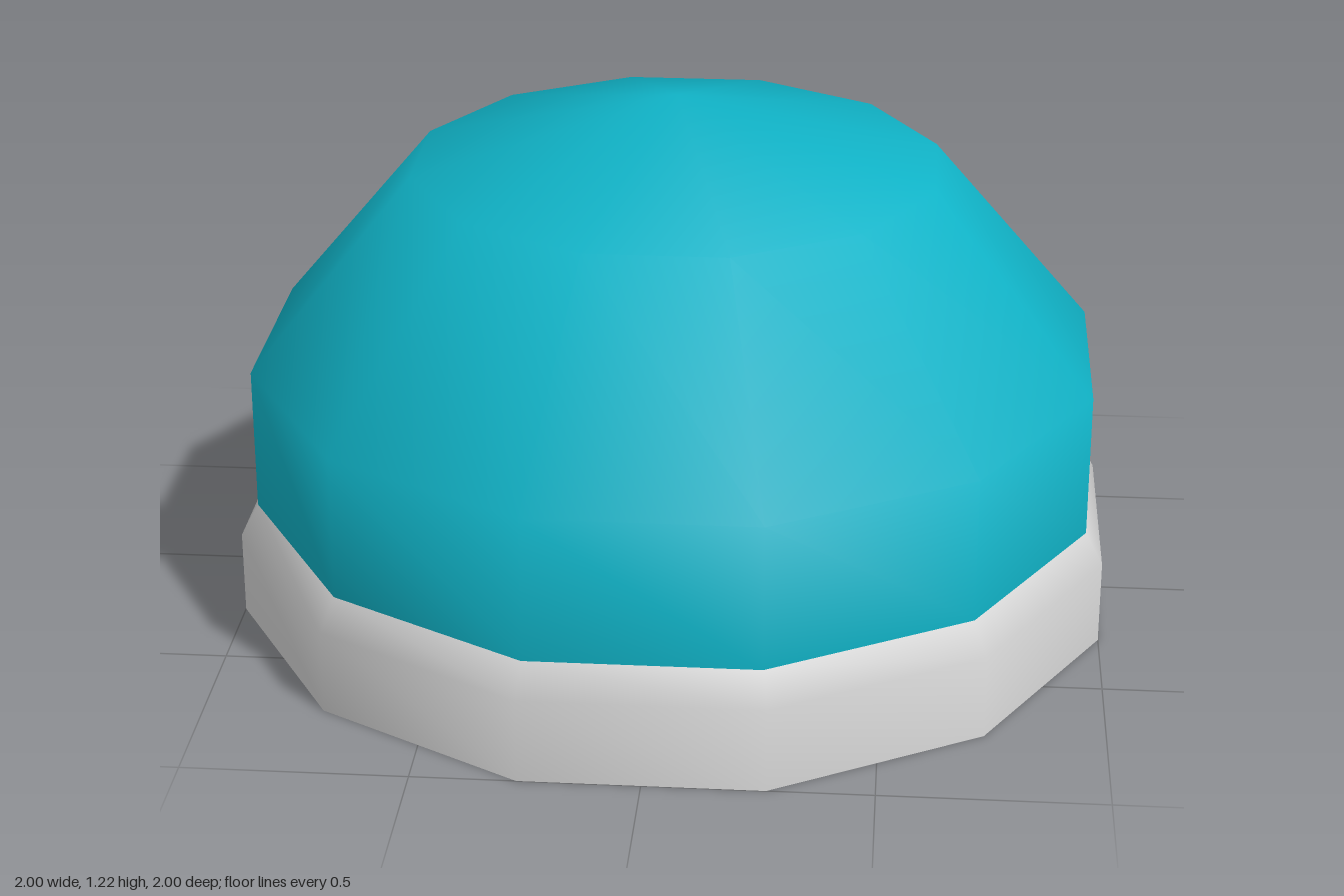
import * as THREE from 'three';

const SIDES = 12;
// Flat faces point along the axes, so widths are given to the middle of a side.
const CORNER = 1 / Math.cos(Math.PI / SIDES);

function ring(points) {
  const profile = points.map(([r, y]) => new THREE.Vector2(r * CORNER, y));
  return new THREE.LatheGeometry(profile, SIDES, Math.PI / SIDES);
}

export function createModel() {
  const teal = new THREE.MeshStandardMaterial({ color: 0x10b3c7, side: THREE.DoubleSide });
  teal.name = 'teal';
  const lightGrey = new THREE.MeshStandardMaterial({ color: 0xdadada, side: THREE.DoubleSide });
  lightGrey.name = 'lightGrey';

  const group = new THREE.Group();
  group.name = 'domeCap';
  const add = (name, geometry, material) => {
    const mesh = new THREE.Mesh(geometry, material);
    mesh.name = name;
    group.add(mesh);
  };

  // Open shell with a faceted outline and smooth shading
  const shell = ring([[0.96, 0.27], [0.96, 0.605], [0.593, 1.056], [0, 1.215]]);
  const { position, normal } = shell.attributes;
  for (let i = 0; i < position.count; i++) {
    if (position.getY(i) > 1.2) normal.setXYZ(i, 0, 1, 0);
  }
  add('dome', shell, teal);

  // Brim band: outer face, underside and inner face
  add('bandOuter', ring([[1, 0], [1, 0.195], [0.96, 0.27]]), lightGrey);
  add('bandUnderside', ring([[0.97, 0], [1, 0]]), lightGrey);
  add('bandInner', ring([[0.96, 0.27], [0.97, 0]]), lightGrey);

  return group;
}
